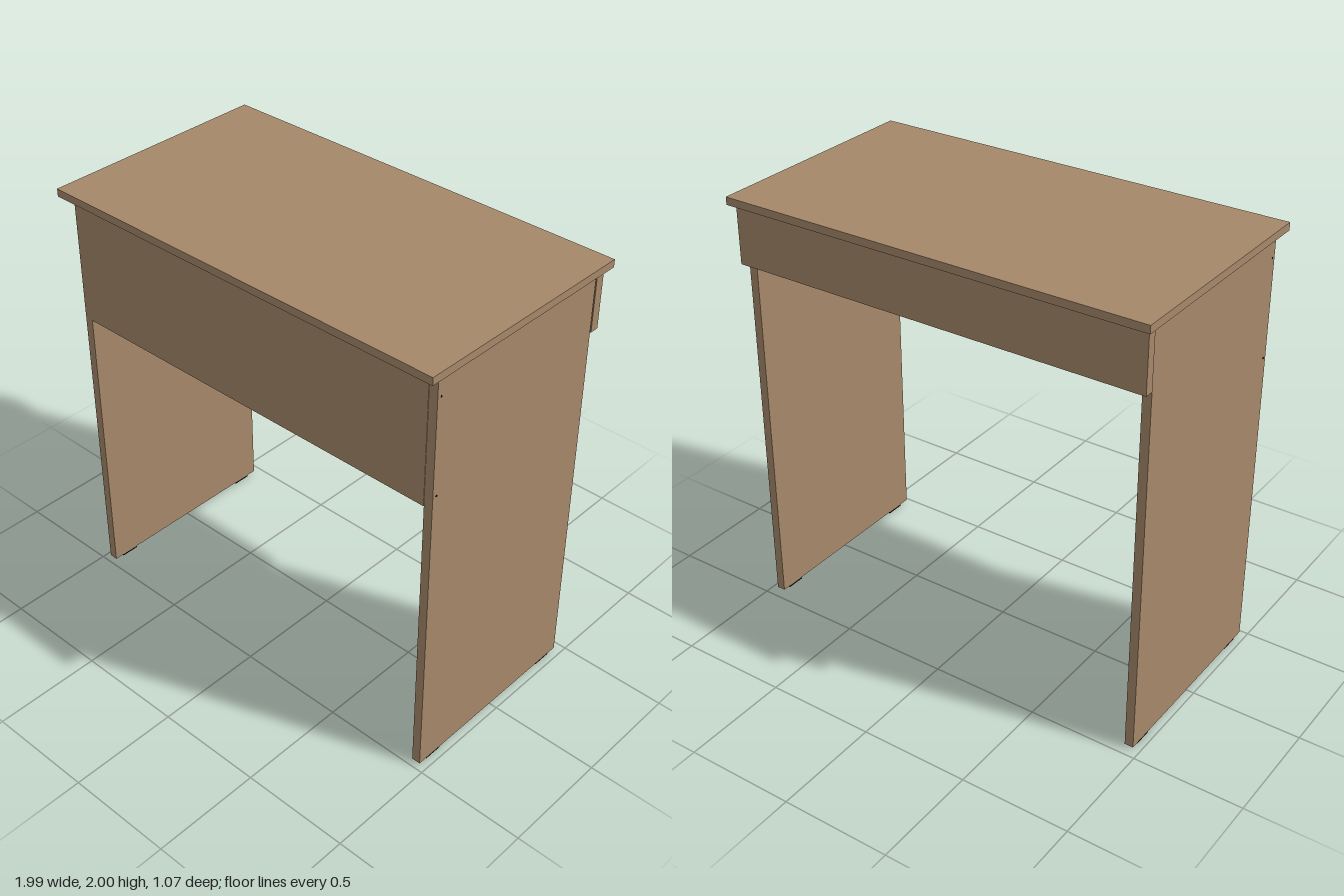
import * as THREE from 'three';

export function createModel() {
  const model = new THREE.Group();
  model.name = 'desk';

  const material = (name, color) => {
    const m = new THREE.MeshStandardMaterial({ color });
    m.name = name;
    return m;
  };
  const wood = material('tan wood', 0xa6886a);
  const board = material('brown board', 0x8b4513);
  const black = material('black plastic', 0x0c0c0c);

  // Box given by its lower and upper limits on each axis
  const box = (name, mat, [x0, x1], [y0, y1], [z0, z1], parent = model) => {
    const mesh = new THREE.Mesh(new THREE.BoxGeometry(x1 - x0, y1 - y0, z1 - z0), mat);
    mesh.position.set((x0 + x1) / 2, (y0 + y1) / 2, (z0 + z1) / 2);
    mesh.name = name;
    parent.add(mesh);
    return mesh;
  };

  // Table top and front panel
  box('tableTop', wood, [-0.995, 0.991], [1.965, 2], [-0.537, 0.537]);
  box('frontPanel', wood, [-0.93, 0.926], [1.365, 1.965], [0.437, 0.476]);

  // Side panels with feet and screw caps
  for (const side of [-1, 1]) {
    const label = side < 0 ? 'right' : 'left';
    const cx = side * 0.949 - 0.001;
    box(label + 'SidePanel', wood, [cx - 0.02, cx + 0.02], [0.012, 1.965], [-0.457, 0.476]);
    for (const z of [0.385, -0.372]) {
      box(label + 'Foot', black, [cx - 0.016, cx + 0.016], [0, 0.012], [z - 0.043, z + 0.043]);
    }
    for (const y of [1.425, 1.87]) {
      const cap = new THREE.Mesh(new THREE.CylinderGeometry(0.004, 0.004, 0.003, 12), black);
      cap.rotation.z = Math.PI / 2;
      cap.position.set(cx + side * 0.0205, y, 0.456);
      cap.name = label + 'ScrewCap';
      model.add(cap);
    }
    // Bumpers behind the drawer front
    for (const y of [1.72, 1.88]) {
      box(label + 'Bumper', black, [cx - 0.015, cx + 0.015], [y - 0.01, y + 0.01], [-0.463, -0.457]);
    }
  }

  // Drawer opening to the back
  const drawer = new THREE.Group();
  drawer.name = 'drawer';
  model.add(drawer);
  box('drawerFront', wood, [-0.974, 0.969], [1.695, 1.962], [-0.505, -0.463], drawer);
  box('drawerBottom', board, [-0.929, 0.925], [1.745, 1.755], [-0.463, 0.436], drawer);
  box('drawerBack', wood, [-0.92, 0.916], [1.755, 1.92], [0.39, 0.425], drawer);
  for (const x of [-0.92, 0.881]) {
    box('drawerSide', wood, [x, x + 0.035], [1.755, 1.92], [-0.463, 0.39], drawer);
  }

  return model;
}
